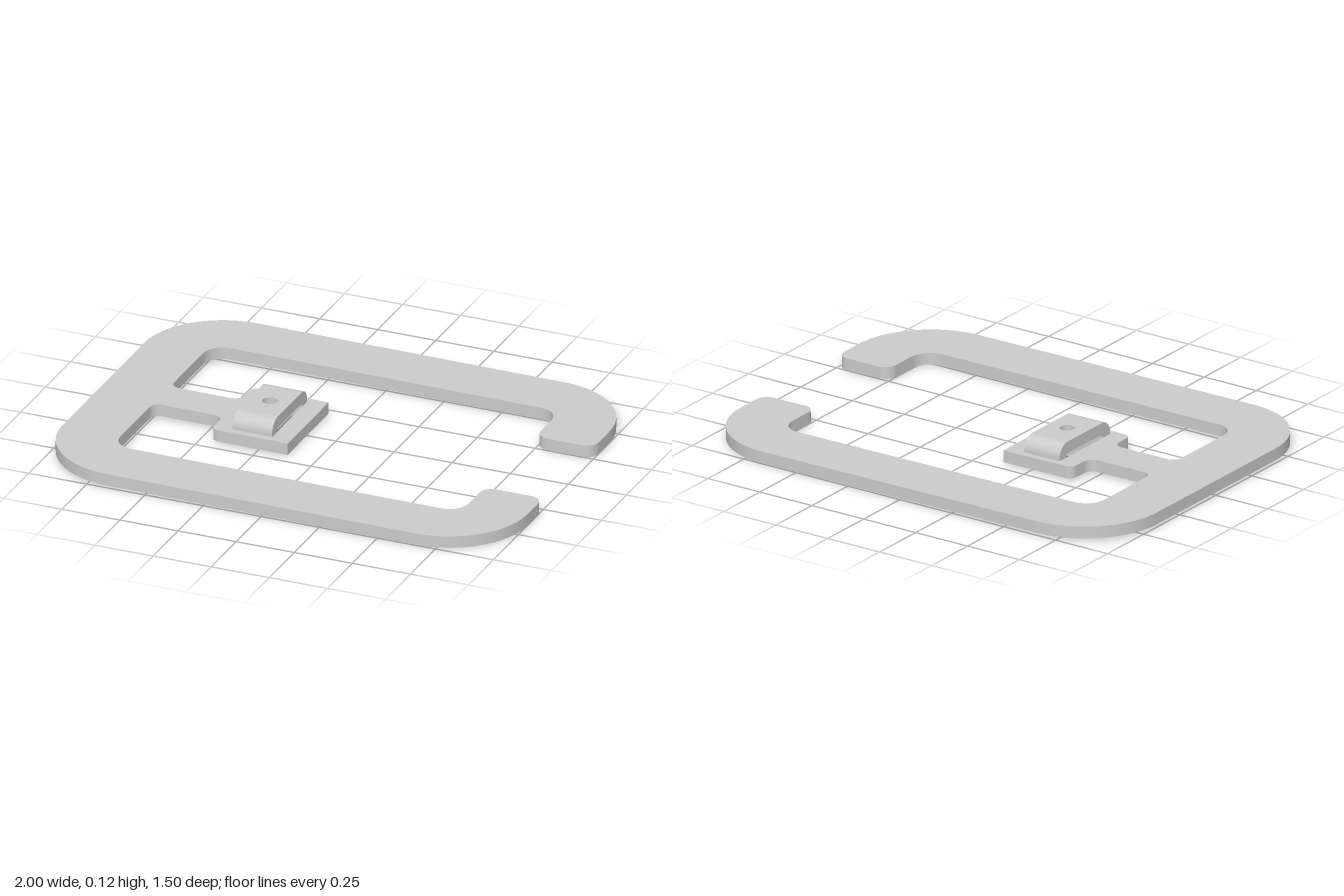
import * as THREE from 'three';
import { toCreasedNormals } from 'three/addons/utils/BufferGeometryUtils.js';

const grey = new THREE.MeshStandardMaterial({ color: 0xcccccc });

// Closed path through [x, y, radius] points, each corner rounded by its radius
function rounded(points, path = new THREE.Shape()) {
  const v = points.map(([x, y]) => new THREE.Vector2(x, y));
  const n = v.length;
  v.forEach((p, i) => {
    const r = points[i][2] || 0;
    const a = v[(i + n - 1) % n].clone().sub(p).normalize();
    const b = v[(i + 1) % n].clone().sub(p).normalize();
    const start = p.clone().addScaledVector(a, r);
    if (i === 0) path.moveTo(start.x, start.y);
    else path.lineTo(start.x, start.y);
    if (r > 0) {
      const c = start.clone().addScaledVector(b, r);
      path.absarc(c.x, c.y, r, Math.atan2(-b.y, -b.x), Math.atan2(-a.y, -a.x), a.cross(b) > 0);
    }
  });
  path.closePath();
  return path;
}

function extrude(shape, depth) {
  return new THREE.ExtrudeGeometry(shape, { depth, bevelEnabled: false, curveSegments: 10 });
}

function addMesh(parent, name, geometry) {
  const mesh = new THREE.Mesh(toCreasedNormals(geometry, 0.5), grey);
  mesh.name = name;
  parent.add(mesh);
}

export function createModel() {
  const group = new THREE.Group();
  group.name = 'openFrame';
  const body = new THREE.Group();
  body.name = 'tiltedBody';
  body.rotation.z = -0.006;
  body.position.y = 0.006;
  group.add(body);

  const thick = 0.05;
  const x0 = -0.37, x1 = -0.2, xc = (x0 + x1) / 2;

  // Flat C-shaped frame with its inner tongue and pad, one half then mirrored
  const half = [
    [-0.12, 0.205, 0], [-0.45, 0.205, 0.03], [-0.45, 0.083, 0.04], [-0.75, 0.083, 0.04],
    [-0.75, 0.5, 0.085], [0.75, 0.5, 0.085], [0.75, 0.253, 0.05], [1, 0.253, 0.05],
    [1, 0.75, 0.34], [-1, 0.75, 0.34],
  ];
  const mirrored = half.map(([x, y, r]) => [x, -y, r]).reverse();
  const outline = rounded([...half, ...mirrored]);
  // Rectangular opening below the bridge
  outline.holes.push(rounded([[x0, -0.13], [x0, 0.13], [x1, 0.13], [x1, -0.13]], new THREE.Path()));
  addMesh(body, 'framePlate', extrude(outline, thick).rotateX(-Math.PI / 2));

  // Bridge over the pad: drilled top and two rounded legs
  const bridge = new THREE.Group();
  bridge.name = 'bridge';
  bridge.position.set(xc, thick, 0);
  body.add(bridge);
  const w = x1 - x0, gap = 0.016, top = 0.065, inner = 0.115;
  const slab = rounded([[-w / 2, -inner], [w / 2, -inner], [w / 2, inner], [-w / 2, inner]]);
  slab.holes.push(new THREE.Path().absarc(0, 0, 0.03, 0, Math.PI * 2, true));
  addMesh(bridge, 'bridgeTop',
    extrude(slab, top - gap).rotateX(-Math.PI / 2).translate(0, gap, 0));

  const legProfile = rounded([
    [0.13, 0], [0.175, 0], [0.175, top, 0.055], [inner, top], [inner, gap], [0.13, gap, 0.012],
  ]);
  for (const side of [1, -1]) {
    addMesh(bridge, side > 0 ? 'backLeg' : 'frontLeg',
      extrude(legProfile, w).translate(0, 0, -w / 2).rotateY(side * Math.PI / 2));
  }
  return group;
}
